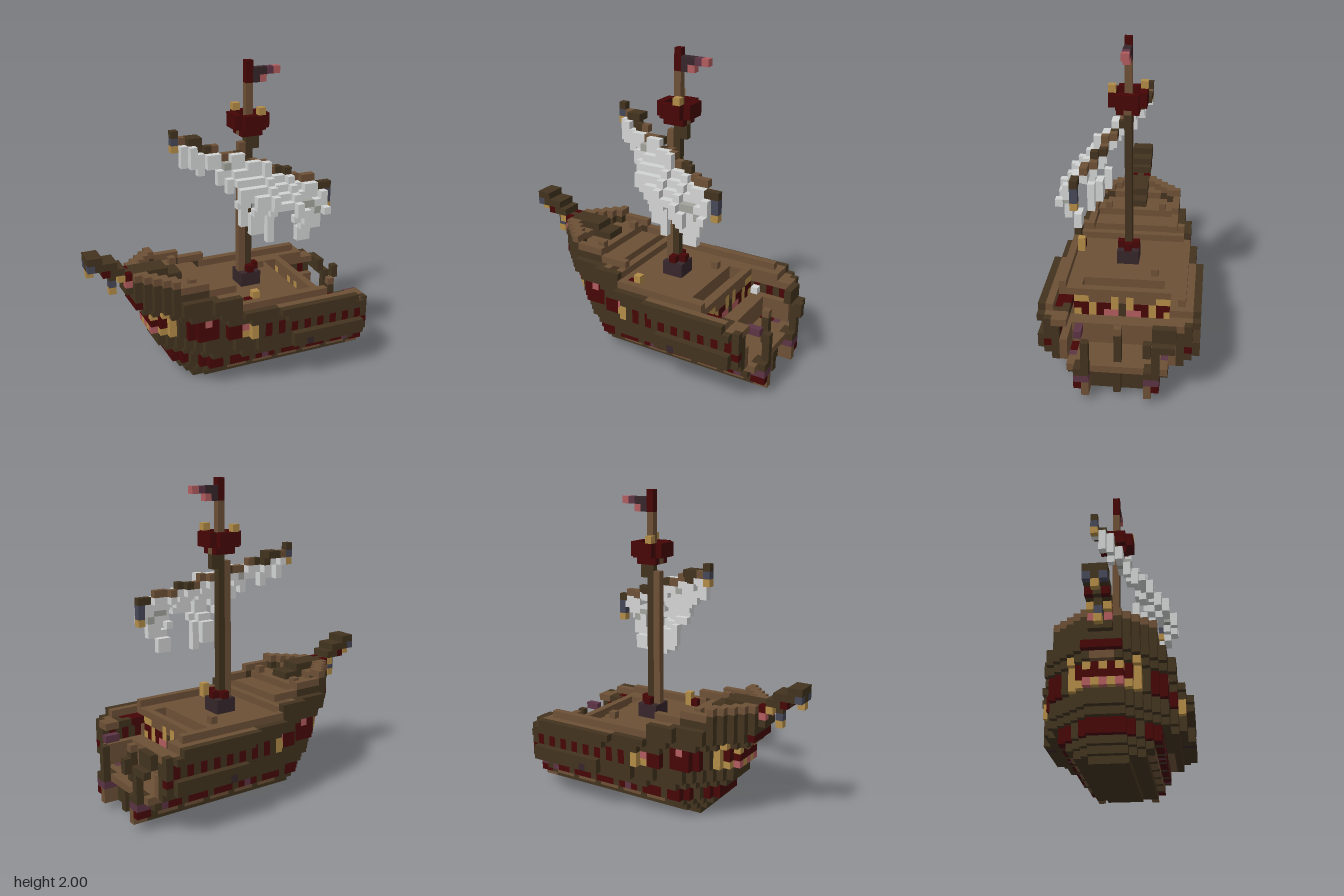
import * as THREE from 'three';

const U = 2 / 44; // edge of one cube
const mats = {};
for (const [name, hex] of Object.entries({
  darkWood: 0x42331f, brownWood: 0x6d5036, deepRed: 0x460506, purple: 0x5c3444, gold: 0xb38c47,
  pink: 0xb25c5e, sailWhite: 0xd2d4d3, sailGrey: 0xa2a49c, slate: 0x464858, plum: 0x36262a,
})) {
  mats[name] = new THREE.MeshStandardMaterial({ color: hex });
  mats[name].name = name;
}

// A part is a map of cubes: x and z count from the centre, y from the ground
const key = (x, y, z) => `${x},${y},${z}`;
class Part {
  constructor(name) { this.name = name; this.cells = new Map(); }
  put(x, y, z, m) { this.cells.set(key(x, y, z), { p: [x, y, z], m }); }
  box(x0, x1, y0, y1, z0, z1, m) {
    for (let x = x0; x <= x1; x++) for (let y = y0; y <= y1; y++) for (let z = z0; z <= z1; z++) {
      if (m) this.put(x, y, z, m); else this.cells.delete(key(x, y, z));
    }
  }
  // Only the faces that touch air are kept, one mesh for each colour
  build() {
    const group = new THREE.Group();
    group.name = this.name;
    const out = {};
    for (const { p, m } of this.cells.values()) {
      for (let d = 0; d < 3; d++) for (const s of [-1, 1]) {
        const n = [...p];
        n[d] += s;
        if (this.cells.has(key(...n))) continue;
        const o = (out[m] ??= { pos: [], nor: [] });
        const corner = (a, b) => {
          const c = [p[0], p[1] + 0.5, p[2]];
          c[d] += s / 2;
          c[(d + 1) % 3] += a / 2;
          c[(d + 2) % 3] += b / 2;
          return c.map((v) => v * U);
        };
        const q = [corner(-1, -1), corner(1, -1), corner(1, 1), corner(-1, 1)];
        if (s < 0) q.reverse();
        const normal = [0, 0, 0];
        normal[d] = s;
        for (const i of [0, 1, 2, 0, 2, 3]) { o.pos.push(...q[i]); o.nor.push(...normal); }
      }
    }
    for (const [m, o] of Object.entries(out)) {
      const g = new THREE.BufferGeometry();
      g.setAttribute('position', new THREE.Float32BufferAttribute(o.pos, 3));
      g.setAttribute('normal', new THREE.Float32BufferAttribute(o.nor, 3));
      const mesh = new THREE.Mesh(g, mats[m]);
      mesh.name = `${this.name} ${m}`;
      group.add(mesh);
    }
    return group;
  }
}

// Hull rows from the keel up: half width, bow end, stern end
const HALF = [2, 4, 5, 6, 6, 8, 10, 10, 9, 9, 10, 10, 8, 8, 6, 6, 6];
const BOW = [-6, -7, -8, -9, -9, -10, -11, -11, -12, -12, -12, -13, -14, -14, -14, -14, -14];
const STERN = [14, 17, 17, 17, 18, 17, 17, 17, 17, 17, 17, 15, 14, -2, -2, -6, -10];
// Plan outline: from this x on, this half width
const PLAN = [[-14, 2], [-13, 3], [-12, 4], [-11, 5], [-10, 6], [-9, 7], [-5, 8], [-2, 9], [3, 10]];

function halfWidth(x, y) {
  const sx = x - (BOW[y] + 14);
  let w = -1;
  for (const [from, half] of PLAN) if (sx >= from) w = half;
  if (x >= 17 && y > 4) w = Math.min(w, 9);
  return Math.min(w, HALF[y]);
}

function hullColour(x, y, az, w) {
  const cycle = (x + 40) % 4;
  if (y === 4 && x >= 17) return 'brownWood';
  if (x >= 8 && y >= 4 && az <= 7 && az < w) return 'brownWood';
  if (x === 17 && y === 7 && az === 9) return 'deepRed';
  if (y === 2) return x > -4 && cycle !== 1 ? 'brownWood' : 'darkWood';
  if (y === 3 || y === 4) return cycle === 1 ? 'darkWood' : x === 3 || x === 16 ? 'purple' : 'deepRed';
  if (y === 6 && x === 8) return 'plum';
  // Ornament round the bow
  if (x <= -10 && y === 11) return az < w ? 'brownWood' : x === -11 ? 'gold' : 'darkWood';
  if (x <= -10 && y === 10) return x === -11 || az % 2 ? 'deepRed' : 'gold';
  if (x <= -10 && y === 9) return x === -10 ? 'gold' : 'deepRed';
  if (x <= -10 && y === 8) return x === -10 || az % 2 ? 'gold' : 'pink';
  // Gun ports
  if (y === 8 || y === 9) {
    if (x === 0 || (x === -1 && y === 8)) return 'gold';
    if (x === -1) return 'pink';
    return (x >= -8 && x <= -2 && x !== -4) || (x > 0 && x % 2 === 0) ? 'deepRed' : 'darkWood';
  }
  if (y === 10 && x >= -8 && x <= -5) return x === -6 ? 'pink' : 'deepRed';
  return y >= 10 && az < w ? 'brownWood' : 'darkWood';
}

function buildHull() {
  const hull = new Part('hull');
  for (let y = 0; y < 12; y++) for (let x = BOW[y]; x <= STERN[y]; x++) {
    const w = halfWidth(x, y);
    for (let z = -w; z <= w; z++) hull.put(x, y, z, hullColour(x, y, Math.abs(z), w));
  }
  // Rising foredeck and stepped bulwarks
  for (let y = 12; y <= 16; y++) for (let x = BOW[y]; x <= STERN[y]; x++) {
    const w = halfWidth(x, y), before = halfWidth(x - 1, y);
    const top = y === 16 || x > STERN[y + 1];
    for (let z = -w; z <= w; z++) {
      const rail = Math.abs(z) >= Math.min(w, before) || x === BOW[y];
      const deck = y === 12 ? x <= -3 : y === 13 ? x <= -4 : y === 14 ? x <= -7 : y === 15 && x <= -11;
      if (rail) hull.put(x, y, z, top ? 'brownWood' : y === 12 && x === -14 ? 'deepRed' : 'darkWood');
      else if (deck) hull.put(x, y, z, 'brownWood');
    }
  }
  hull.box(-14, -8, 15, 16, -1, 1); // seat of the bowsprit
  // Hatch, sunken stern deck and open gallery
  hull.box(9, 10, 10, 11, -5, 5);
  hull.box(12, 13, 8, 11, -6, 6);
  hull.box(14, 18, 5, 11, -6, 6);
  for (const z of [-7, 7]) hull.box(12, 17, 8, 9, z, z);
  hull.put(12, 8, -7, 'sailWhite');
  // Stair well by the left rail
  hull.box(12, 15, 11, 12, 7, 8);
  hull.box(12, 13, 10, 10, 7, 8, 'deepRed');
  hull.box(14, 15, 10, 10, 7, 8, 'darkWood');
  hull.put(14, 10, 8, 'deepRed');
  // Cabin wall facing the gallery
  for (let z = -6; z <= 6; z++) {
    const az = Math.abs(z);
    hull.put(11, 8, z, az === 0 ? 'darkWood' : az < 3 ? 'pink' : az === 4 || az === 6 ? 'gold' : 'deepRed');
    hull.put(11, 9, z, az === 0 ? 'darkWood' : az % 3 === 1 ? 'gold' : 'deepRed');
    hull.put(11, 10, z, az % 4 === 1 || az === 6 ? 'gold' : 'brownWood');
  }
  // Stern post and gallery wings
  hull.box(17, 17, 4, 8, 0, 0, 'darkWood');
  hull.put(17, 9, 0, 'brownWood');
  hull.box(18, 18, 1, 3, 0, 0, 'darkWood');
  for (const s of [-1, 1]) {
    hull.box(18, 19, 1, 1, 4 * s, 4 * s, 'brownWood');
    for (const z of [4 * s, 5 * s]) {
      hull.box(18, 19, 2, 2, z, z, z === 5 * s ? 'deepRed' : 'brownWood');
      hull.box(18, 19, 3, 3, z, z, 'purple');
      hull.box(18, 19, 4, 4, z, z, 'darkWood');
    }
  }
  // Lantern posts
  hull.box(19, 19, 5, 7, -5, -5, 'darkWood');
  hull.box(19, 19, 8, 8, -7, -5, 'darkWood');
  hull.box(18, 18, 9, 10, -7, -5, 'darkWood');
  hull.box(20, 20, 8, 9, -4, -4, 'darkWood');
  hull.box(19, 19, 5, 8, 4, 4, 'darkWood');
  hull.box(17, 18, 9, 9, 5, 5, 'purple');
  // Small deck posts
  for (const s of [-1, 1]) hull.put(-7, 15, 4 * s, 'brownWood');
  hull.put(7, 12, -4, 'brownWood');
  hull.put(0, 12, 7, 'deepRed');
  hull.box(1, 1, 12, 13, 7, 7, 'gold');
  return hull;
}

function buildBowsprit() {
  const b = new Part('bowsprit');
  b.box(-14, -8, 15, 15, -1, 1, 'darkWood');
  b.box(-15, -10, 16, 16, -1, 1, 'darkWood');
  b.box(-15, -15, 14, 15, -1, 1, 'darkWood');
  b.box(-16, -16, 16, 17, -1, 1, 'darkWood');
  b.box(-18, -17, 17, 18, -1, 1, 'darkWood');
  b.box(-20, -19, 18, 19, -1, 1, 'darkWood');
  for (const z of [-1, 1]) {
    b.put(-18, 17, z, 'deepRed');
    b.put(-20, 18, z, 'slate');
    b.put(-16, 16, z, 'gold');
    b.put(-15, 16, z, 'deepRed');
    b.put(-15, 15, z, 'pink');
  }
  b.put(-20, 17, 0, 'gold');
  b.put(-17, 16, 0, 'darkWood');
  b.put(-17, 15, 0, 'slate');
  b.put(-17, 14, 0, 'gold');
  return b;
}

function buildMast() {
  const m = new Part('mast');
  m.box(2, 4, 12, 13, -1, 1, 'plum');
  m.box(2, 4, 14, 14, 0, 0, 'deepRed');
  m.box(3, 3, 14, 14, -1, 1, 'deepRed');
  m.box(2, 2, 14, 32, 0, 0, 'brownWood');
  m.box(3, 3, 15, 33, 0, 0, 'darkWood');
  m.box(4, 4, 32, 33, 0, 0, 'darkWood');
  m.box(3, 3, 34, 40, 0, 0, 'brownWood');
  m.box(3, 3, 41, 43, 0, 0, 'deepRed');
  return m;
}

function buildNest() {
  const n = new Part('crowsNest');
  n.box(2, 4, 34, 34, -1, 1, 'deepRed');
  for (const x of [2, 4]) n.put(x, 34, 0, 'brownWood');
  n.box(1, 5, 35, 36, -2, 2, 'deepRed');
  for (const x of [1, 5]) for (const z of [-2, 2]) n.box(x, x, 35, 36, z, z);
  n.box(2, 4, 36, 36, -1, 1);
  n.box(2, 4, 35, 35, -1, 1, 'purple');
  for (const s of [-1, 1]) n.put(3 + s, 37, 2 * s, 'gold');
  return n;
}

function buildFlag() {
  const f = new Part('flag');
  f.box(4, 5, 42, 42, 0, 0, 'plum');
  f.put(6, 42, 0, 'purple');
  f.put(7, 42, 0, 'pink');
  f.put(4, 41, 0, 'plum');
  f.put(5, 41, 0, 'pink');
  return f;
}

// The yard slopes down and forward from one end to the other
const yardY = (x) => Math.round(33.3 - (x + 7) * 0.34);
const yardZ = (x) => Math.round(-2 + (x + 7) * 0.42);
const SAIL_FOOT = [30, 30, 29, 30, 28, 27, 25, 22, 21, 21, 20, 25, 25, 23, 20, 20, 22, 24];

function buildYard() {
  const y = new Part('yard');
  for (let x = -7; x <= 12; x++) {
    const m = (x + 9) % 5 < 2 ? 'darkWood' : 'brownWood';
    y.box(x, x, yardY(x), yardY(x), yardZ(x), yardZ(x), m);
  }
  y.box(-7, -7, 34, 34, -2, -2, 'darkWood');
  y.box(-5, -4, 33, 33, -2, -1, 'darkWood');
  y.put(-7, 33, -2, 'slate');
  y.put(-7, 32, -2, 'gold');
  y.box(12, 12, 25, 26, 6, 6, 'slate');
  y.put(12, 24, 6, 'gold');
  return y;
}

// The sail hangs under the yard and swells forward in steps
function buildSail() {
  const sail = new Part('sail');
  SAIL_FOOT.forEach((foot, i) => {
    const x = i - 6, top = yardY(x) - 1, z0 = yardZ(x);
    const swell = x < -2 ? 1 : x < 0 ? 2 : x < 9 ? 4 : 2;
    let last = z0;
    for (let y = top; y >= foot; y--) {
      const t = Math.min(0.85, (top - y + 0.5) / 8);
      const z = z0 + Math.round(swell * Math.sin(t * Math.PI));
      const grey = (x >= 8 && x <= 9 && y === 25) || (x === -1 && y === 30) || (x === 10 && y === 24);
      const m = grey ? 'sailGrey' : 'sailWhite';
      sail.box(x, x, y, y, Math.min(z, last + (y < top ? 1 : 0)), Math.max(z, last - 1, z0 + 1), m);
      last = z;
    }
    if (x >= 0 && x <= 4) sail.put(x, top + 1, z0 + 1, 'sailWhite');
  });
  return sail;
}

export function createModel() {
  const ship = new THREE.Group();
  ship.name = 'sailingShip';
  for (const make of [buildHull, buildBowsprit, buildMast, buildNest, buildFlag, buildYard, buildSail]) {
    ship.add(make().build());
  }
  return ship;
}
